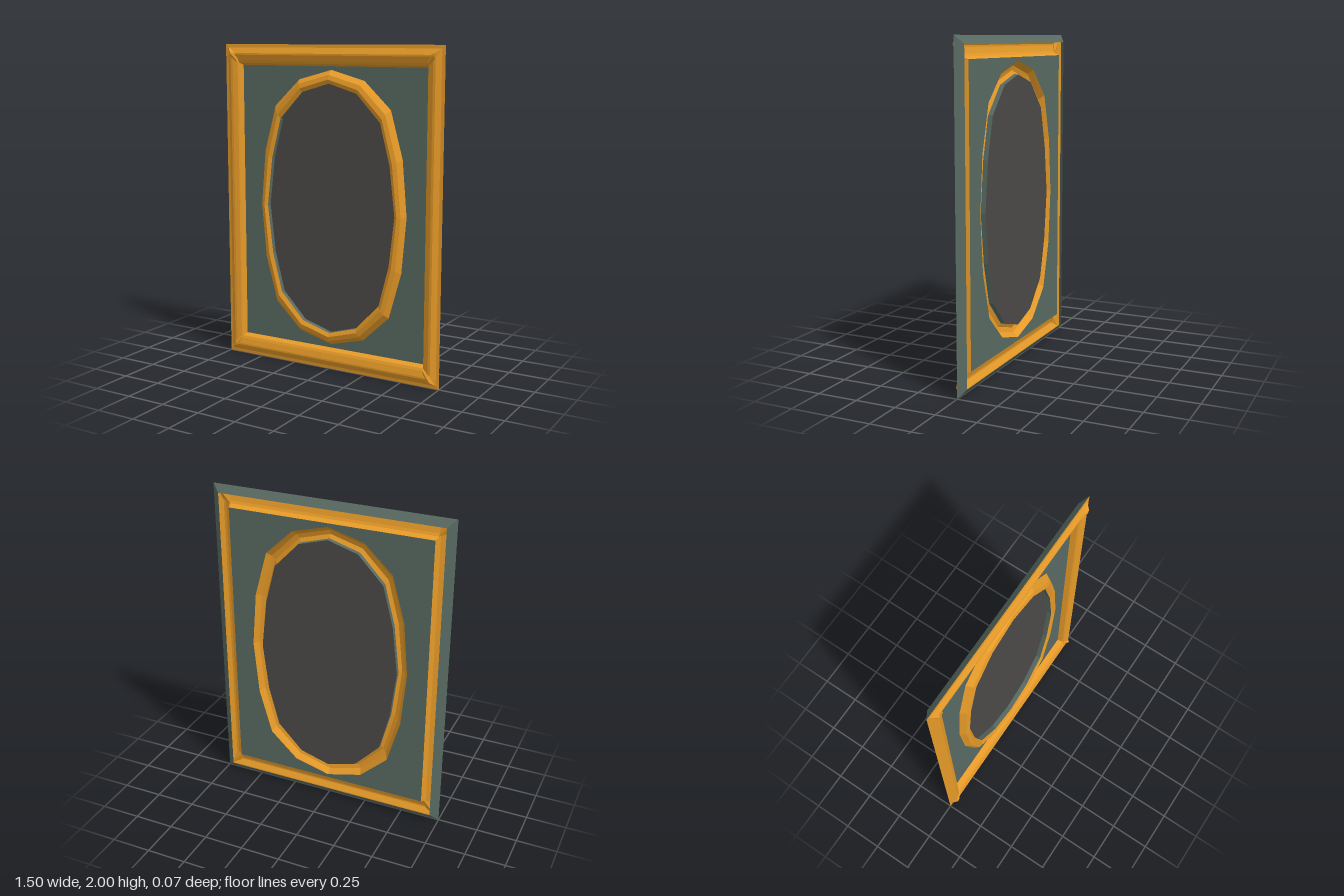
import * as THREE from 'three';
import { ConvexGeometry } from 'three/addons/geometries/ConvexGeometry.js';

const material = (color) => new THREE.MeshStandardMaterial({ color, flatShading: true, side: THREE.DoubleSide });
const gold = material(0xe69a28);
const green = material(0x586a62);
const dark = material(0x4b4a47);
const CY = 1; // height of the centre

function mesh(name, geometry, mat) {
  const m = new THREE.Mesh(geometry, mat);
  m.name = name;
  return m;
}

// Joins successive closed loops (counter-clockwise from the front) with flat quads
function loft(loops) {
  const pos = [];
  for (let k = 0; k + 1 < loops.length; k++) {
    const a = loops[k], b = loops[k + 1], n = a.length;
    for (let i = 0; i < n; i++) {
      const j = (i + 1) % n;
      for (const p of [a[i], a[j], b[j], a[i], b[j], b[i]]) pos.push(...p);
    }
  }
  const g = new THREE.BufferGeometry();
  g.setAttribute('position', new THREE.Float32BufferAttribute(pos, 3));
  g.computeVertexNormals();
  return g;
}

// Rectangular loop at half-width x, half-height y, depth z
const rect = ([x, y, z]) => [[-1, -1], [1, -1], [1, 1], [-1, 1]].map(([sx, sy]) => [sx * x, CY + sy * y, z]);

// Mirrors five points of a quarter oval into a 16-sided loop
function oval(quarter, z) {
  const q = quarter.map(([x, y]) => [x, y]);
  const half = [...q, ...q.slice(0, 4).reverse().map(([x, y]) => [-x, y])];
  const all = [...half, ...half.slice(1, 8).reverse().map(([x, y]) => [x, -y])];
  return all.map(([x, y]) => [x, CY + y, z]);
}

const flat = (loop) => loop.map(([x, y]) => new THREE.Vector2(x, y));

export function createModel() {
  const model = new THREE.Group();
  model.name = 'ovalPictureFrame';

  // Gilded moulding, from the outer edge in to the panel
  const profile = [
    [0.75, 1.0, 0], [0.73, 0.98, 0.002], [0.70, 0.945, 0.022], [0.685, 0.935, 0.022],
    [0.655, 0.90, 0.012], [0.648, 0.885, 0.004], [0.638, 0.872, -0.03],
  ];
  model.add(mesh('frameMoulding', loft(profile.map(rect)), gold));

  // Bevelled rim around the back
  model.add(mesh('backBevel', loft([rect([0.70, 0.955, -0.037]), rect([0.75, 1, 0])]), green));

  // Raised spindle over each mitred corner
  const corners = new THREE.Group();
  corners.name = 'cornerOrnaments';
  for (const sx of [-1, 1]) for (const sy of [-1, 1]) {
    const points = [
      [0.728, 0.98, 0.002], [0.70, 0.955, 0.033], [0.69, 0.94, 0.034], [0.65, 0.892, 0.02],
      [0.70, 0.905, 0.014], [0.658, 0.945, 0.014], [0.645, 0.885, 0.004],
    ].map(([x, y, z]) => new THREE.Vector3(sx * x, CY + sy * y, z));
    corners.add(mesh('cornerOrnament', new ConvexGeometry(points), gold));
  }
  model.add(corners);

  // Oval ring, and the recess wall behind it
  const outer = [[0.51, 0], [0.48, 0.34], [0.40, 0.625], [0.225, 0.79], [0, 0.85]];
  const inner = [[0.445, 0], [0.41, 0.30], [0.345, 0.55], [0.187, 0.715], [0, 0.77]];
  const blend = (t) => outer.map(([x, y], i) => [
    THREE.MathUtils.lerp(x, inner[i][0], t), THREE.MathUtils.lerp(y, inner[i][1], t)]);
  model.add(mesh('ovalRing', loft([
    oval(outer, -0.03), oval(blend(0.35), 0.004), oval(blend(0.7), 0.012), oval(inner, 0),
  ]), gold));
  model.add(mesh('recessWall', loft([oval(inner, 0), oval(inner, -0.03)]), green));

  // Panel with an oval opening
  const panelShape = new THREE.Shape(flat(rect([0.638, 0.872, 0])));
  panelShape.holes.push(new THREE.Path(flat(oval(outer, 0))));
  const panel = mesh('panel', new THREE.ShapeGeometry(panelShape), green);
  panel.position.z = -0.03;
  model.add(panel);

  // Dark oval centre
  const centre = mesh('ovalCentre', new THREE.ShapeGeometry(new THREE.Shape(flat(oval(inner, 0)))), dark);
  centre.position.z = -0.03;
  model.add(centre);

  return model;
}
